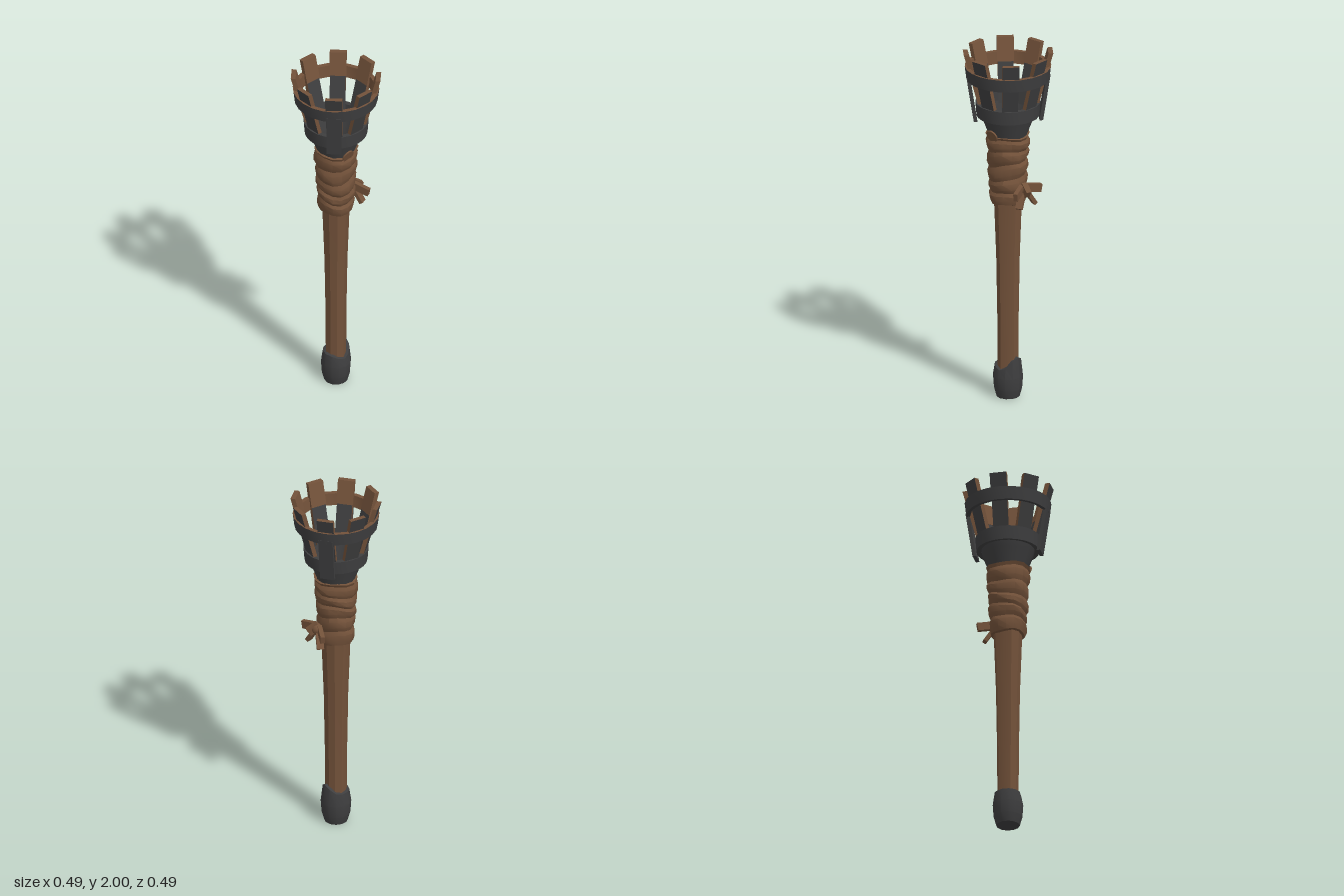
import * as THREE from 'three';
import { toCreasedNormals } from 'three/addons/utils/BufferGeometryUtils.js';

const mat = (name, color, opts = {}) => {
  const m = new THREE.MeshStandardMaterial({ color, ...opts });
  m.name = name;
  return m;
};

export function createModel() {
  const group = new THREE.Group();
  const wood = mat('brown wood and leather', 0x73523a, { side: THREE.DoubleSide });
  const iron = mat('dark iron', 0x3e3e3f, { side: THREE.DoubleSide });

  const add = (name, geometry, material, parent = group) => {
    const mesh = new THREE.Mesh(geometry, material);
    mesh.name = name;
    parent.add(mesh);
    return mesh;
  };
  // Turned part; optional rule moves each vertex, then edges are creased
  const turned = (name, profile, sides, material, crease, rule) => {
    const geo = new THREE.LatheGeometry(profile.map(p => new THREE.Vector2(...p)), sides);
    if (rule) {
      const pos = geo.attributes.position, v = new THREE.Vector3();
      for (let i = 0; i < pos.count; i++) {
        v.fromBufferAttribute(pos, i);
        rule(v, Math.atan2(v.x, v.z));
        pos.setXYZ(i, v.x, v.y, v.z);
      }
    }
    return add(name, toCreasedNormals(geo, crease), material);
  };

  // Hollow tapering shaft
  turned('shaft', [[0.058, 0.1], [0.06, 0.45], [0.066, 0.8], [0.077, 1.1], [0.085, 1.25]],
    10, wood, 0.5, (v, a) => {
      const k = 1 + 0.04 * Math.cos(4 * a + 0.6);
      v.x *= k; v.z *= k;
    });

  // Pommel with an uneven upper edge, peaked on the left side
  turned('pommel', [[0, 0], [0.064, 0], [0.078, 0.05], [0.083, 0.12], [0.072, 0.19], [0.055, 0.195]],
    12, iron, 0.55, (v, a) => {
      if (v.y > 0.15) v.y += 0.045 * Math.max(0, Math.sin(a)) ** 3 - 0.025 * Math.max(0, Math.cos(a)) ** 3;
    });

  // Leather wrap made of overlapping, tilted bands
  const bands = [[0.08, 1.13], [0.092, 1.135]];
  for (let i = 0; i < 5; i++) {
    const y = 1.14 + i * 0.075, r = 0.094 + i * 0.0045;
    bands.push([r + 0.006, y + 0.02], [r + 0.008, y + 0.052], [r - 0.001, y + 0.072]);
  }
  bands.push([0.12, 1.528], [0.106, 1.53]);
  turned('leatherWrap', bands, 14, wood, 0.5, (v, a) => {
    const fade = Math.max(0, 1 - Math.abs(v.y - 1.33) / 0.2);
    const k = 1 + 0.025 * Math.sin(3 * a + v.y * 40);
    v.x *= k; v.z *= k;
    v.y += 0.03 * fade * Math.sin(a + v.y * 9) + 0.006 * Math.sin(3 * a);
  });

  // Small tongue of the wrap lying on the cup
  const tongue = add('wrapTongue', new THREE.CylinderGeometry(0.037, 0.037, 0.009, 10), wood);
  tongue.position.set(-0.015, 1.535, 0.114);
  tongue.rotation.x = Math.PI / 2 + 0.33;

  // Knot with two loops and two tails
  const knot = new THREE.Group();
  knot.name = 'knot';
  group.add(knot);
  const bar = (name, a, b, width, thick) => {
    const from = new THREE.Vector3(...a), to = new THREE.Vector3(...b);
    const mesh = add(name, new THREE.BoxGeometry(width, thick, from.distanceTo(to)), wood, knot);
    mesh.position.copy(from).add(to).multiplyScalar(0.5);
    mesh.lookAt(to);
  };
  const center = add('knotCenter', new THREE.IcosahedronGeometry(0.032, 1), wood, knot);
  center.position.set(0.12, 1.23, 0);
  for (const s of [-1, 1]) {
    bar('knotLoop', [0.11, 1.235, s * 0.01], [0.145, 1.215, s * 0.105], 0.024, 0.045);
    bar('knotTail', [0.115, 1.225, s * 0.01], [0.135, 1.135, s * 0.065], 0.038, 0.022);
  }
  bar('knotStub', [0.11, 1.25, 0], [0.162, 1.212, 0.02], 0.03, 0.045);

  // Flared cup
  turned('cup', [[0.1, 1.5], [0.107, 1.53], [0.138, 1.61], [0.15, 1.66], [0.14, 1.665], [0.115, 1.6], [0.1, 1.53]],
    16, iron, 0.6);

  // Basket hoops
  turned('lowerHoop', [[0.145, 1.64], [0.171, 1.635], [0.177, 1.712], [0.15, 1.712], [0.145, 1.64]], 24, iron, 0.6);
  turned('upperHoopOutside', [[0.204, 1.85], [0.226, 1.848], [0.235, 1.92]], 24, iron, 0.6);
  turned('upperHoopInside', [[0.235, 1.92], [0.211, 1.92], [0.204, 1.85]], 24, wood, 0.6);

  // Slat leaning outward: r0 and r1 are the outer radii at heights y0 and y1
  const slat = (name, angle, width, thick, y0, y1, r0, r1, materials) => {
    const geo = new THREE.BoxGeometry(width, y1 - y0, thick);
    const pos = geo.attributes.position;
    for (let i = 0; i < pos.count; i++) {
      pos.setZ(i, pos.getZ(i) - thick / 2 + (pos.getY(i) < 0 ? r0 : r1));
      pos.setY(i, pos.getY(i) + (y0 + y1) / 2);
    }
    geo.rotateY(angle);
    geo.computeVertexNormals();
    add(name, geo, materials);
  };
  const lowerFaces = [wood, wood, wood, wood, iron, iron];
  const upperFaces = [wood, wood, wood, wood, iron, wood];
  for (let i = 0; i < 8; i++) {
    const a = i * Math.PI / 4;
    slat('slatLower', a, 0.086, 0.024, 1.65, 1.87, 0.15, 0.208, lowerFaces);
    slat('slatUpper', a, 0.092, 0.026, 1.87, 2, 0.208, 0.243, upperFaces);
  }
  // Two iron straps over the lower hoop on opposite diagonals
  for (const a of [-Math.PI / 4, Math.PI * 3 / 4])
    slat('strap', a, 0.08, 0.02, 1.61, 1.87, 0.188, 0.228, iron);

  return group;
}
